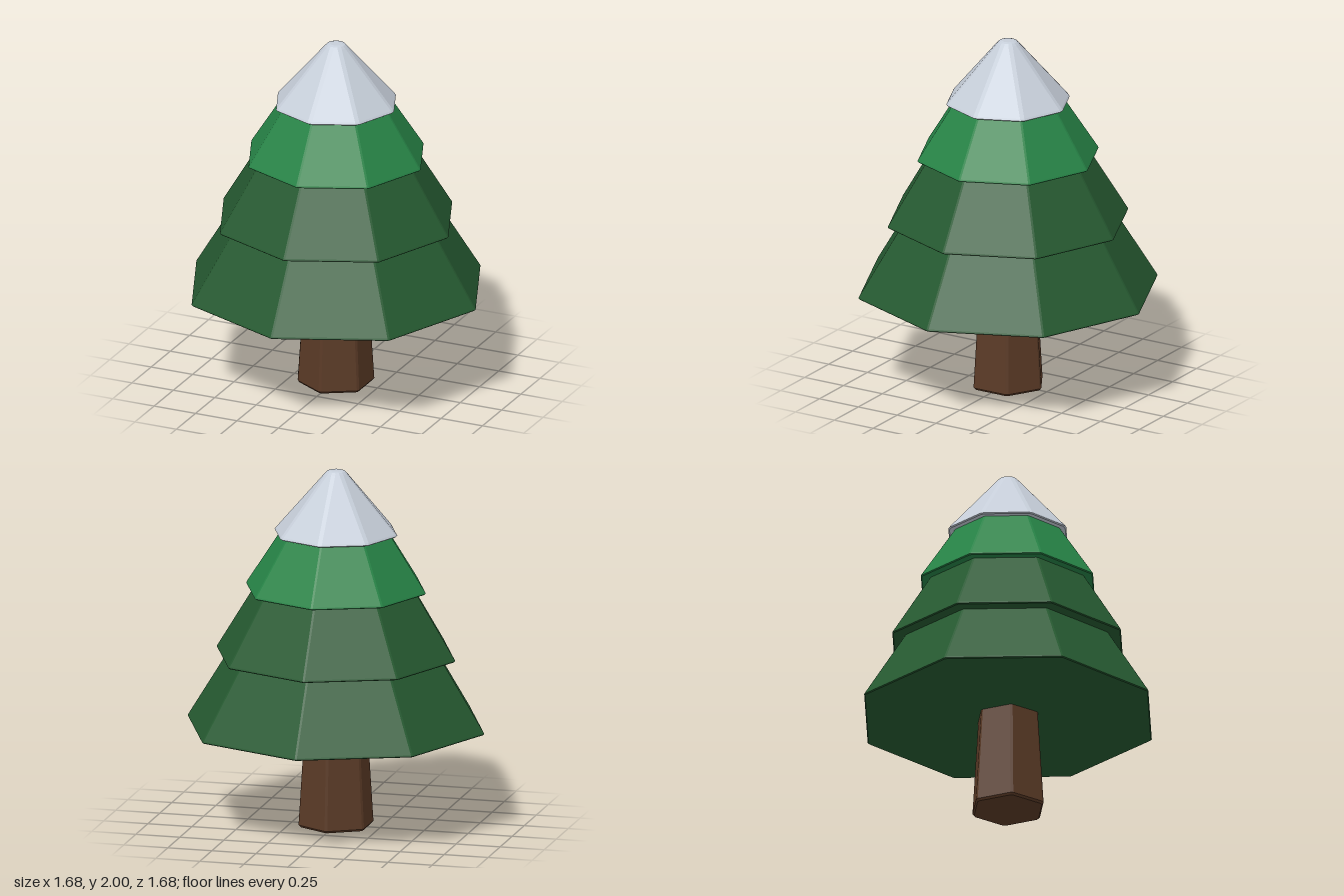
import * as THREE from 'three';

const mat = (name, color) => {
  const m = new THREE.MeshStandardMaterial({ color });
  m.name = name;
  return m;
};

// Faceted solid: a profile of [radius, height] turned around y with n sides,
// each corner cut by a narrow chamfer of half-width c.
function faceted(name, n, c, profile, material) {
  const pts = profile.map(([r, y]) => new THREE.Vector2(r, y));
  const lathe = new THREE.LatheGeometry(pts, n * 2);
  const pos = lathe.attributes.position;
  for (let i = 0; i <= n * 2; i++) {
    profile.forEach(([r, y], j) => {
      const corner = (Math.floor(i / 2) * Math.PI * 2) / n;
      const cut = r > 0 ? Math.min(c / r, Math.PI / n / 2) : 0;
      const a = corner + (i % 2 ? cut : -cut);
      pos.setXYZ(i * profile.length + j, Math.sin(a) * r, y, Math.cos(a) * r);
    });
  }
  const geometry = lathe.toNonIndexed();
  geometry.computeVertexNormals();
  const mesh = new THREE.Mesh(geometry, material);
  mesh.name = name;
  return mesh;
}

export function createModel() {
  const bark = mat('bark brown', 0x5a3a26);
  const darkGreen = mat('dark green', 0x265a31);
  const brightGreen = mat('bright green', 0x278447);
  const snow = mat('snow grey', 0xc6ced9);

  const tree = new THREE.Group();
  tree.name = 'snowyTree';

  // Six-sided tapering trunk
  tree.add(faceted('trunk', 6, 0.008, [
    [0, 0], [0.2, 0], [0.21, 0.012], [0.174, 0.58], [0, 0.58],
  ], bark));

  // Foliage skirts: [name, rim radius, rim height, top radius, top height, material]
  const tiers = [
    ['lowerFoliage', 0.84, 0.56, 0.59, 0.975, darkGreen],
    ['middleFoliage', 0.675, 0.96, 0.445, 1.345, darkGreen],
    ['upperFoliage', 0.508, 1.33, 0.3, 1.66, brightGreen],
  ];
  for (const [name, r, y, topR, topY, material] of tiers) {
    tree.add(faceted(name, 8, 0.006, [
      [0, y], [r - 0.006, y], [r, y + 0.005], [r - 0.004, y + 0.014], [topR, topY], [0, topY],
    ], material));
  }

  // Snow cap with a blunted tip
  tree.add(faceted('snowCap', 8, 0.012, [
    [0, 1.645], [0.338, 1.645], [0.345, 1.65], [0.338, 1.661],
    [0.062, 1.983], [0.05, 1.995], [0.034, 2], [0, 2],
  ], snow));

  return tree;
}
